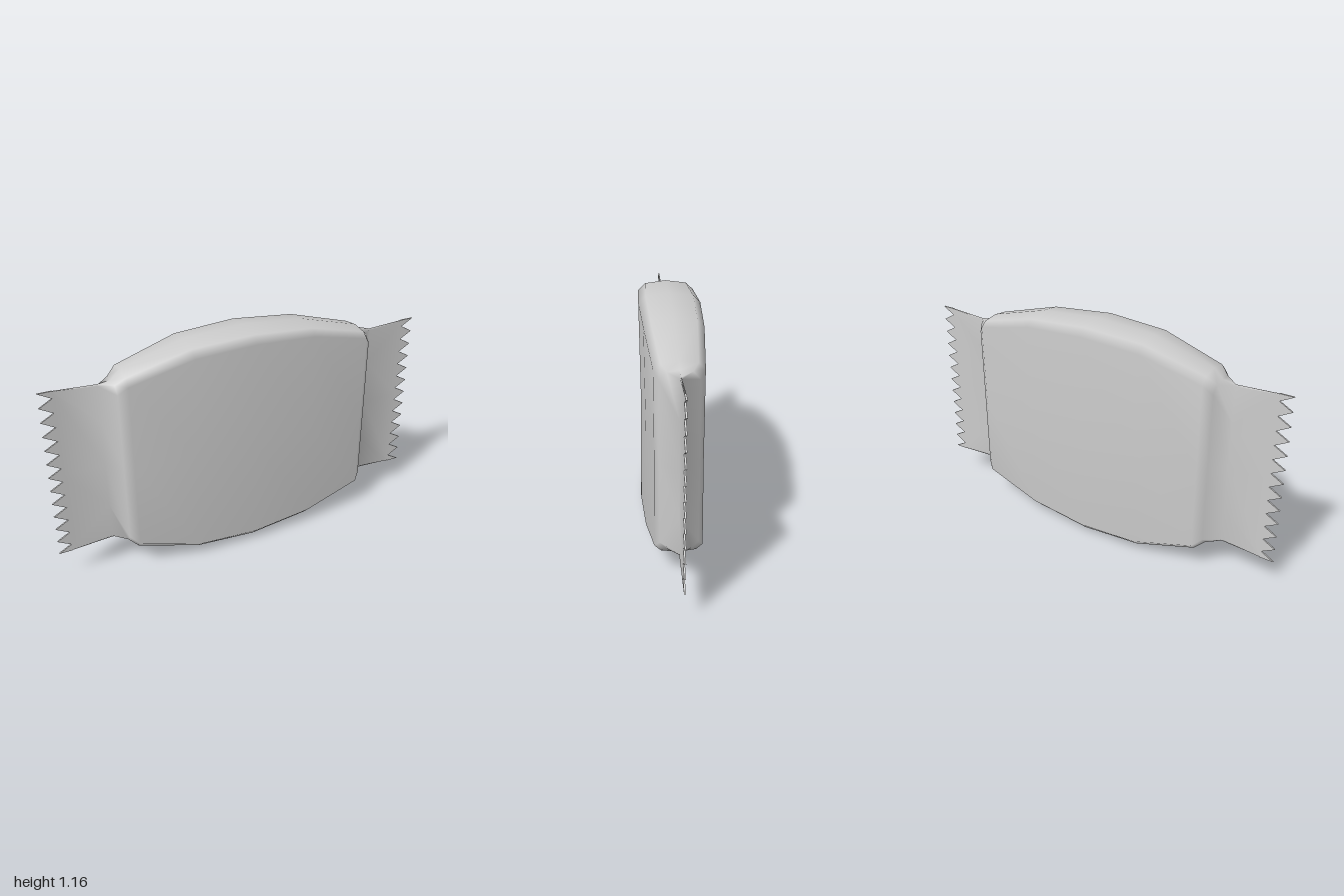
import * as THREE from 'three';

const MID_Y = 0.585; // height of the horizontal centre line
const SEAL = 0.004;  // half thickness of the pressed end seals

// Stations along x: [x, half height, shoulder y, shoulder z, side y, side z, middle z]
const STATIONS = [
  [-0.935, 0.434, 0.433, SEAL, 0.43, SEAL, SEAL],
  [-0.73, 0.423, 0.415, SEAL, 0.23, SEAL, SEAL],
  [-0.665, 0.43, 0.425, 0.055, 0.39, 0.088, 0.088],
  [-0.62, 0.475, 0.462, 0.08, 0.43, 0.113, 0.11],
  [-0.31, 0.564, 0.55, 0.105, 0.515, 0.142, 0.135],
  [0, 0.58, 0.566, 0.115, 0.53, 0.15, 0.143],
  [0.32, 0.55, 0.537, 0.105, 0.505, 0.137, 0.132],
  [0.64, 0.463, 0.452, 0.08, 0.425, 0.11, 0.108],
  [0.67, 0.43, 0.425, 0.055, 0.39, 0.088, 0.088],
  [0.73, 0.423, 0.415, SEAL, 0.23, SEAL, SEAL],
  [0.935, 0.434, 0.433, SEAL, 0.43, SEAL, SEAL],
];

// Closed outline of one station: top, down the front, bottom, up the back
function ring([x, h, cy, cz, sy, sz, mz]) {
  const front = [[cy, cz], [sy, sz], [0, mz], [-sy, sz], [-cy, cz]];
  const back = front.map(([y, z]) => [y, -z]).reverse();
  return [[h, 0], ...front, [-h, 0], ...back].map(([y, z]) => [x, y + MID_Y, z]);
}

// Smooth skin through all stations
function loft(rings) {
  const n = rings[0].length;
  const index = [];
  for (let i = 0; i < rings.length - 1; i++) {
    for (let j = 0; j < n; j++) {
      const k = (j + 1) % n;
      const a = i * n + j, b = i * n + k, c = b + n, d = a + n;
      index.push(a, b, c, a, c, d);
    }
  }
  const geometry = new THREE.BufferGeometry();
  geometry.setAttribute('position', new THREE.Float32BufferAttribute(rings.flat(2), 3));
  geometry.setIndex(index);
  geometry.computeVertexNormals();
  return geometry;
}

// Zigzag strip that ends a seal; side is +1 or -1
function serratedEdge(side) {
  const teeth = 12, half = 0.435, root = 0.935, tip = 1;
  const shape = new THREE.Shape();
  shape.moveTo(side * (root - 0.003), -half);
  for (let i = 0; i <= teeth * 2; i++) {
    shape.lineTo(side * (i % 2 ? root : tip), -half + (half * i) / teeth);
  }
  shape.lineTo(side * (root - 0.003), half);
  shape.closePath();
  const geometry = new THREE.ExtrudeGeometry(shape, { depth: SEAL * 2, bevelEnabled: false });
  return geometry.translate(0, MID_Y, -SEAL);
}

export function createModel() {
  const model = new THREE.Group();
  model.name = 'wrappedBar';
  const material = new THREE.MeshStandardMaterial({ color: 0xcccccc });
  const add = (name, geometry) => {
    const mesh = new THREE.Mesh(geometry, material);
    mesh.name = name;
    model.add(mesh);
  };

  // Puffed pouch with its flat seals
  add('wrapperPouch', loft(STATIONS.map(ring)));

  // Pinked ends
  add('leftSerratedEdge', serratedEdge(1));
  add('rightSerratedEdge', serratedEdge(-1));
  return model;
}
